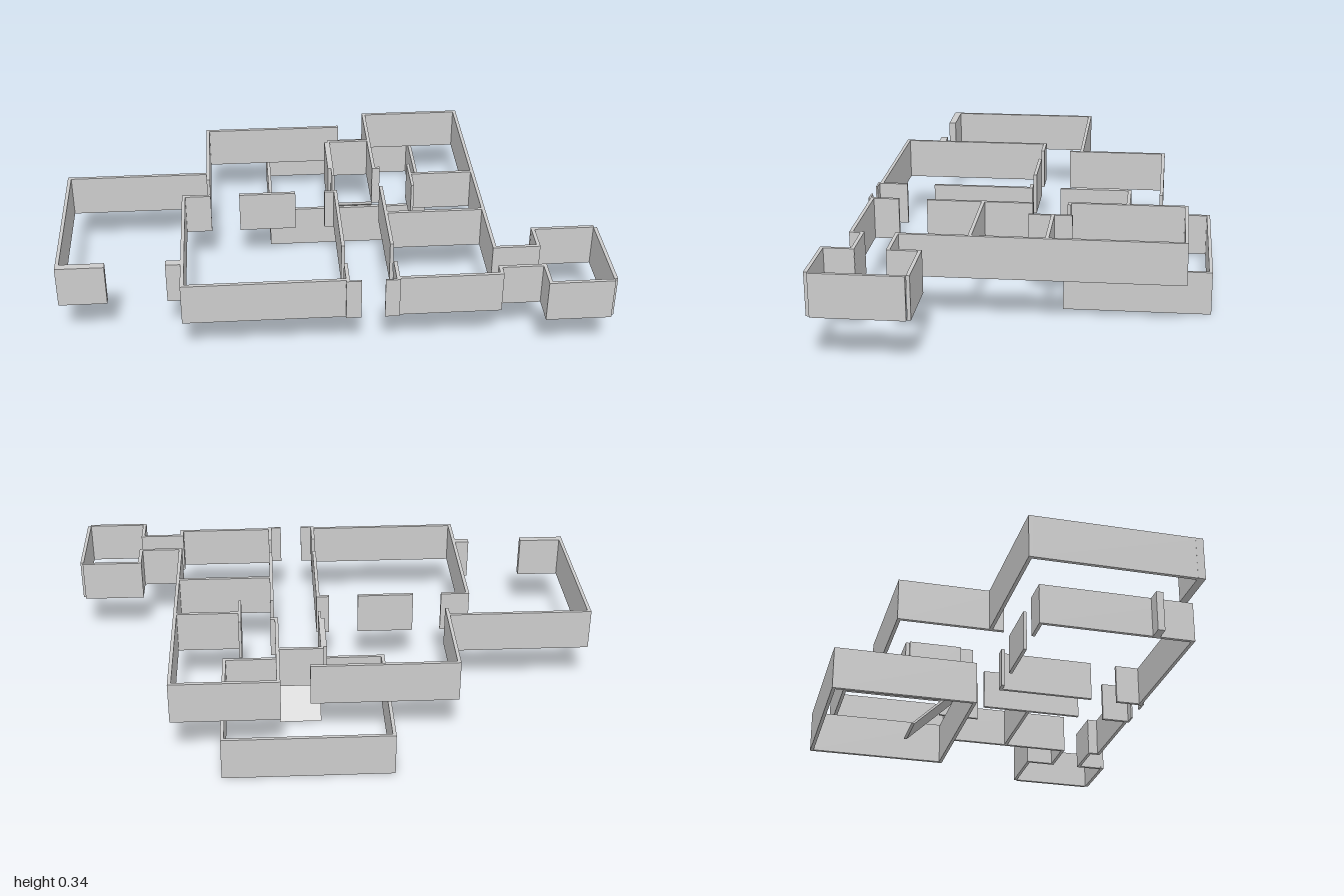
import * as THREE from 'three';

const T = 0.013; // wall thickness
const material = new THREE.MeshStandardMaterial({ color: 0xcccccc, flatShading: true });

function box(parent, name, x0, x1, y0, y1, z0, z1) {
  const mesh = new THREE.Mesh(new THREE.BoxGeometry(x1 - x0, y1 - y0, z1 - z0), material);
  mesh.position.set((x0 + x1) / 2, (y0 + y1) / 2, (z0 + z1) / 2);
  mesh.name = name;
  parent.add(mesh);
}

// A storey is a list of walls along x [z, x0, x1] and along z [x, z0, z1].
function storey(name, y0, y1, alongX, alongZ) {
  const group = new THREE.Group();
  group.name = name;
  for (const [z, x0, x1, t = T] of alongX) box(group, 'crossWall', x0, x1, y0, y1, z - t / 2, z + t / 2);
  for (const [x, z0, z1, t = T] of alongZ) box(group, 'sideWall', x - t / 2, x + t / 2, y0, y1, z0, z1);
  return group;
}

export function createModel() {
  const model = new THREE.Group();
  model.name = 'houseWalls';

  // Basement: a closed rectangle of walls
  model.add(storey('basement', 0, 0.165,
    [[-0.679, -0.207, 0.42], [-0.146, -0.207, 0.42]],
    [[-0.201, -0.685, -0.14], [0.414, -0.685, -0.14]]));

  model.add(storey('groundFloor', 0.184, 0.344, [
    // garage back wall and thick door piers
    [-0.147, -1, -0.444],
    [0.46, -1, -0.823, 0.028],
    [0.46, -0.605, -0.55, 0.028],
    // rear rooms
    [-0.488, -0.455, 0.092],
    [-0.585, 0.202, 0.6],
    [-0.366, 0.038, 0.21],
    [-0.146, 0.202, 0.232],
    // hall wall pieces
    [0.017, -0.55, -0.44],
    [0.017, -0.33, -0.113],
    [0.017, 0, 0.045],
    // front walls and entrance returns
    [0.606, -0.55, 0.045],
    [0.606, 0.222, 0.6],
    [0.617, 0.037, 0.092, 0.007],
    [0.617, 0.177, 0.23, 0.007],
    // partitions on the left side
    [-0.094, 0.345, 0.595],
    [0.181, 0.225, 0.595],
    // passage and side room
    [0.441, 0.589, 0.762],
    [0.565, 0.589, 0.762],
    [0.33, 0.75, 0.987],
    [0.674, 0.75, 0.987],
  ], [
    [-0.993, -0.153, 0.474],
    [-0.449, -0.494, -0.098],
    [-0.544, 0.011, 0.612],
    [0.043, -0.37, -0.098, 0.01],
    [0.043, 0.011, 0.396],
    [0.043, 0.504, 0.614],
    [0.223, -0.008, 0.396],
    [0.223, 0.504, 0.614],
    [0.208, -0.591, -0.14],
    [0.348, -0.167, -0.004, 0.011],
    [0.595, -0.591, 0.447],
    [0.595, 0.559, 0.612],
    [0.757, 0.324, 0.447],
    [0.757, 0.559, 0.68],
    [0.991, 0.338, 0.667],
  ]));

  // Wall beside the stairwell, reaching down to the basement
  box(model, 'stairwellWall', 0.026, 0.038, 0.165, 0.344, -0.358, -0.152);

  // Sloping stair slab from the basement floor to the ground floor
  const profile = new THREE.Shape();
  profile.moveTo(0.34, 0);
  profile.lineTo(0.328, 0);
  profile.lineTo(0.15, 0.17);
  profile.lineTo(0.15, 0.182);
  profile.closePath();
  const stair = new THREE.Mesh(
    new THREE.ExtrudeGeometry(profile, { depth: 0.158, bevelEnabled: false }), material);
  stair.name = 'stairRamp';
  stair.rotation.y = Math.PI / 2;
  stair.position.x = 0.046;
  model.add(stair);

  return model;
}
